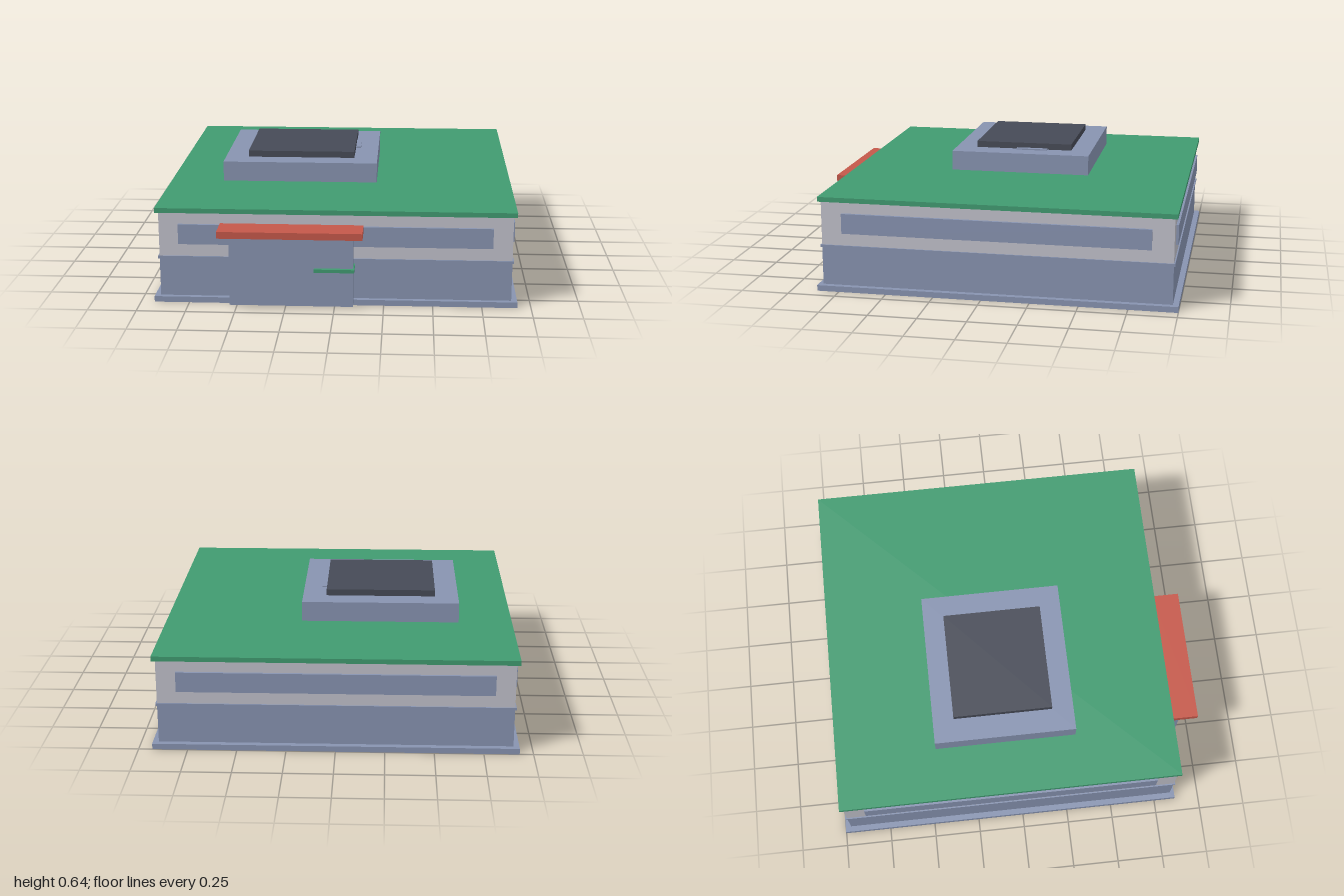
import * as THREE from 'three';

const mat = (name, color) => {
  const m = new THREE.MeshStandardMaterial({ color });
  m.name = name;
  return m;
};

export function createModel() {
  const blue = mat('slate blue', 0x8793b0);
  const grey = mat('pale grey', 0xc0c0ca);
  const green = mat('roof green', 0x409a70);
  const red = mat('canopy red', 0xc4584a);
  const dark = mat('charcoal', 0x464a56);

  const model = new THREE.Group();
  model.name = 'building';

  // Box given by its extents along x, y and z
  const box = (name, material, [x0, x1], [y0, y1], [z0, z1]) => {
    const mesh = new THREE.Mesh(new THREE.BoxGeometry(x1 - x0, y1 - y0, z1 - z0), material);
    mesh.position.set((x0 + x1) / 2, (y0 + y1) / 2, (z0 + z1) / 2);
    mesh.name = name;
    model.add(mesh);
  };

  // Main block
  box('plinth', blue, [-0.93, 0.93], [0, 0.03], [-1, 0.865]);
  box('lowerWalls', blue, [-0.9, 0.9], [0.03, 0.235], [-0.97, 0.84]);
  box('trimBand', blue, [-0.907, 0.907], [0.23, 0.244], [-0.977, 0.847]);
  box('upperWalls', grey, [-0.9, 0.9], [0.244, 0.475], [-0.97, 0.84]);
  box('roofSlab', green, [-0.918, 0.918], [0.475, 0.5], [-0.985, 0.853]);

  // Window strips on all four sides
  const windowY = [0.31, 0.415];
  box('frontWindow', blue, [-0.8, 0.8], windowY, [0.83, 0.853]);
  box('backWindow', blue, [-0.8, 0.8], windowY, [-0.983, -0.96]);
  box('leftWindow', blue, [0.89, 0.915], windowY, [-0.86, 0.73]);
  box('rightWindow', blue, [-0.915, -0.89], windowY, [-0.86, 0.73]);

  // Entrance with canopy and small ledge
  box('entrance', blue, [-0.533, 0.095], [0.013, 0.392], [0.8, 0.925]);
  box('canopy', red, [-0.583, 0.145], [0.39, 0.425], [0.853, 1]);
  box('entranceLedge', green, [-0.102, 0.102], [0.2, 0.217], [0.841, 0.945]);

  // Rooftop structure
  box('rooftopBlock', blue, [-0.635, 0.196], [0.5, 0.606], [-0.445, 0.312]);
  box('rooftopCover', dark, [-0.51, 0.07], [0.606, 0.64], [-0.333, 0.197]);
  box('rooftopStrip', blue, [0.05, 0.098], [0.6, 0.613], [-0.2, -0.03]);

  return model;
}
